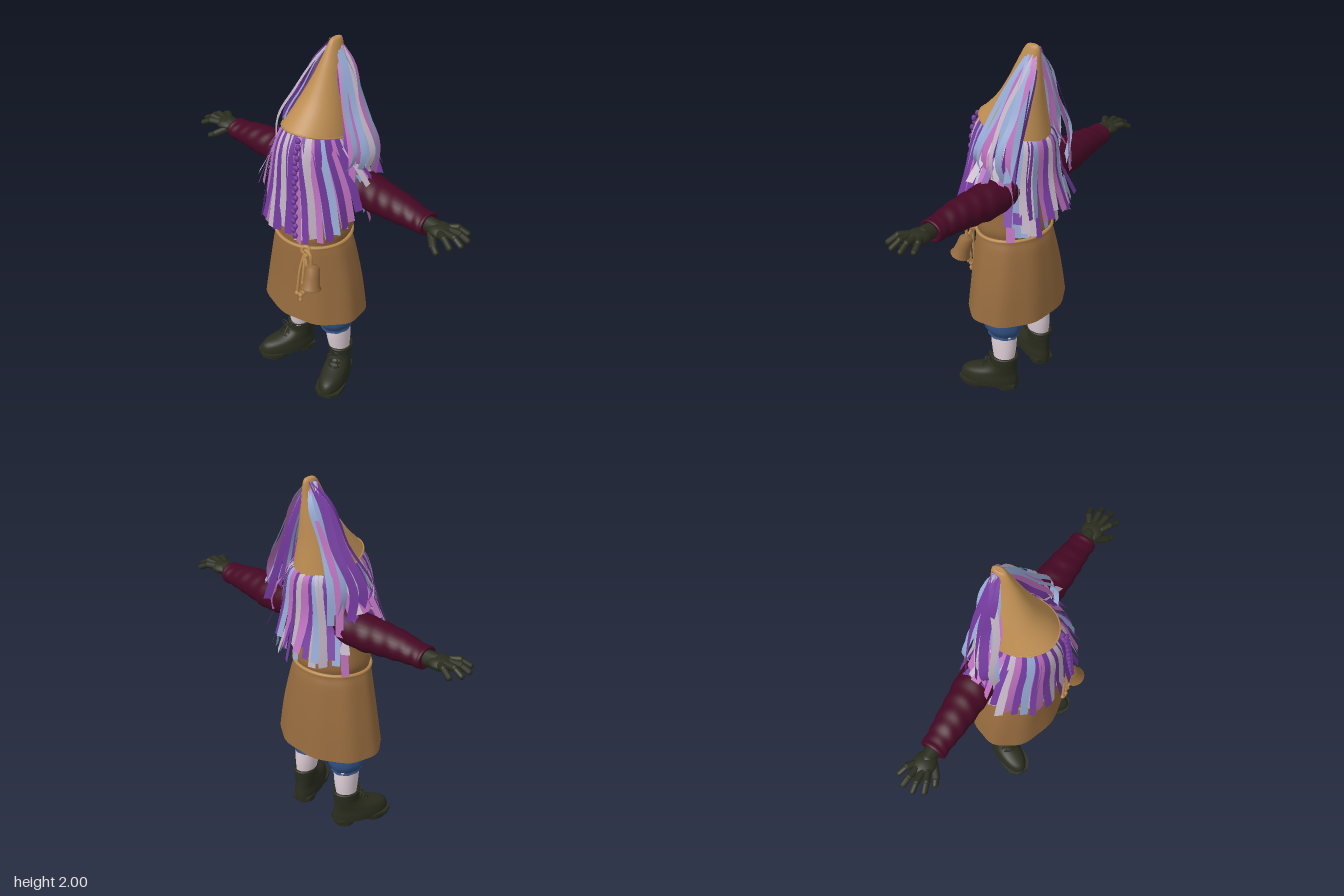
import * as THREE from 'three';
import { mergeVertices, mergeGeometries } from 'three/addons/utils/BufferGeometryUtils.js';

const V = (x, y, z) => new THREE.Vector3(x, y, z);
const mat = (name, color, side = THREE.FrontSide) => {
  const m = new THREE.MeshStandardMaterial({ color, side });
  m.name = name;
  return m;
};
const add = (group, name, geo, material) => {
  const m = new THREE.Mesh(geo, material);
  m.name = name;
  group.add(m);
  return m;
};
const part = (parent, name) => {
  const g = new THREE.Group();
  g.name = name;
  parent.add(g);
  return g;
};

// Skin over rings [x, y, z, rx, rz, tilt], listed from top to bottom
function loft(rings, rows = 24, segs = 32, ripple = () => 1) {
  const curve = (i) => new THREE.CatmullRomCurve3(
    rings.map((r) => V(r[i], r[i + 1], r[i + 2] || 0)), false, 'catmullrom');
  const centre = curve(0), size = curve(3);
  const g = new THREE.CylinderGeometry(1, 1, 1, segs, rows, true);
  g.deleteAttribute('normal');
  g.deleteAttribute('uv');
  const p = g.attributes.position;
  for (let i = 0; i < p.count; i++) {
    const t = Math.floor(i / (segs + 1)) / rows;
    const a = ((i % (segs + 1)) % segs) / segs * Math.PI * 2;
    const c = centre.getPoint(t), s = size.getPoint(t), k = ripple(a, t);
    p.setXYZ(i, c.x + s.x * k * Math.sin(a), c.y + s.z * Math.cos(a), c.z + s.y * k * Math.cos(a));
  }
  const out = mergeVertices(g);
  out.computeVertexNormals();
  return out;
}

// Flat strip along a path, facing heading a and turning by twist
function ribbon(points, width, a, twist = 0, n = 10) {
  const path = new THREE.CatmullRomCurve3(points);
  const g = new THREE.PlaneGeometry(1, 1, 1, n);
  const p = g.attributes.position;
  for (let i = 0; i < p.count; i++) {
    const t = Math.floor(i / 2) / n, u = p.getX(i) * width, h = a + twist * t;
    const c = path.getPoint(t);
    p.setXYZ(i, c.x + u * Math.cos(h), c.y, c.z - u * Math.sin(h));
  }
  g.computeVertexNormals();
  return g;
}

const tube = (points, r, closed = false, n = 24) =>
  new THREE.TubeGeometry(new THREE.CatmullRomCurve3(points, closed), n, r, 6, closed);
const ball = (x, y, z, rx, ry = rx, rz = rx, seg = 14) =>
  new THREE.SphereGeometry(1, seg, seg - 4).scale(rx, ry, rz).translate(x, y, z);
function limb(a, b, r) {
  const d = b.clone().sub(a);
  const q = new THREE.Quaternion().setFromUnitVectors(V(0, 1, 0), d.clone().normalize());
  const c = a.clone().add(b).multiplyScalar(0.5);
  return new THREE.CapsuleGeometry(r, d.length(), 4, 10).applyQuaternion(q).translate(c.x, c.y, c.z);
}

// Copy of a group reflected across x
function mirror(parent, source, name) {
  const g = part(parent, name);
  g.position.copy(source.position);
  source.children.forEach((m) => {
    const geo = m.geometry.index ? m.geometry.clone() : mergeVertices(m.geometry.clone());
    geo.scale(-1, 1, 1);
    const ix = geo.index;
    for (let i = 0; i < ix.count; i += 3) {
      const b = ix.getX(i + 1);
      ix.setX(i + 1, ix.getX(i + 2));
      ix.setX(i + 2, b);
    }
    add(g, m.name, geo, m.material);
  });
}

export function createModel() {
  const D = THREE.DoubleSide;
  const tan = mat('tan felt', 0xbd8d52, D), brown = mat('brown cloth', 0x966b3e, D);
  const maroon = mat('maroon knit', 0x450823), olive = mat('dark leather', 0x2a2c1e);
  const blue = mat('blue denim', 0x2f4f7f, D), sockMat = mat('pale wool', 0xe0d0d8, D);
  const hairMats = [mat('purple', 0x733a9e, D), mat('pink', 0xba70ba, D),
    mat('lilac grey', 0xc2b4c4, D), mat('light blue', 0x94a8d2, D)];
  const root = new THREE.Group();
  root.name = 'costumedFigure';
  let seed = 7;
  const rnd = () => (seed = (seed * 16807) % 2147483647) / 2147483647;

  // Pointed hat with rolled brim
  const hat = part(root, 'hat');
  add(hat, 'hatCone', loft([
    [0.01, 2, -0.11, 0.001, 0.001, 0], [0.01, 1.99, -0.11, 0.02, 0.038, 0],
    [0.01, 1.9, -0.088, 0.045, 0.067, 0], [0.005, 1.8, -0.063, 0.075, 0.098, 0],
    [0, 1.69, -0.034, 0.112, 0.134, 0.015], [0, 1.56, 0.005, 0.157, 0.193, 0.045]], 30, 40), tan);
  const brim = [];
  for (let i = 0; i < 24; i++) {
    const a = i / 24 * Math.PI * 2;
    brim.push(V(0.157 * Math.sin(a), 1.56 + 0.045 * Math.cos(a), 0.005 + 0.193 * Math.cos(a)));
  }
  add(hat, 'hatBrim', tube(brim, 0.005, true, 48), tan);

  // Ribbon hair: two fringe layers round the brim, colours cycling by pattern
  const hair = part(root, 'ribbonHair');
  add(hair, 'innerHair', ball(0, 1.52, 0, 0.12, 0.1, 0.14), hairMats[0]);
  const strips = [[], [], [], []];
  let turn = 0;
  const pick = (pattern) => strips[pattern[turn++ % pattern.length]];
  for (const [count, k] of [[46, 1], [40, 0.88]]) {
    for (let i = 0; i < count; i++) {
      const a = (i + 0.3 * rnd()) / count * Math.PI * 2, s = Math.sin(a), c = Math.cos(a);
      const overArm = c < 0.08 && c > -0.55;
      const end = overArm ? 1.32 + 0.08 * rnd()
        : c > 0 ? 1.01 + 0.19 * s ** 4 + 0.09 * rnd() : 1.02 + 0.15 * rnd();
      const e = k * (0.95 + 0.14 * rnd()), b = c > 0 ? 1 : 0.88;
      // Hair spreads sideways more than it does to the front
      const wide = c > 0 ? 1.08 : 1;
      pick(c > 0 ? [2, 0, 1, 0, 2, 1, 0, 3, 0, 1, 0] : [2, 0, 3, 1, 0, 2, 1, 0, 3]).push(ribbon([
        V(0.13 * s, 1.59 + 0.035 * c, 0.01 + 0.16 * c),
        V(0.185 * k * s, 1.52, 0.225 * k * b * c),
        V(0.255 * k * wide * s, (1.5 + end) / 2, 0.243 * k * b * c),
        V(0.305 * e * wide * s + 0.03 * (rnd() - 0.5), end, 0.262 * e * c)],
      0.03 + 0.018 * rnd(), a, 1.1 * (rnd() - 0.5)));
    }
  }
  // Long streamers from the hat tip, some hugging the hat and some bowing out
  for (const side of [-1, 1]) {
    for (let i = 0; i < 15; i++) {
      const zo = (i / 14 - 0.5) * 0.2, f = (i * 4 % 15) / 14, w = 0.03 * (rnd() - 0.5);
      pick([3, 0, 1, 3, 2, 0, 3, 1]).push(ribbon([
        V(side * 0.012, 1.985, -0.115),
        V(side * (0.05 + 0.055 * f), 1.87, -0.11 + zo * 0.4 + w),
        V(side * (0.115 + 0.075 * f), 1.7, -0.09 + zo * 0.75 - w),
        V(side * (0.185 + 0.11 * f), 1.5, -0.07 + zo + w),
        V(side * (0.19 + 0.1 * rnd()), 1.25 + 0.15 * rnd(), -0.06 + zo * 1.3)],
      0.03 + 0.016 * rnd(), side * (Math.PI / 2 - 8 * zo) + 0.8 * (rnd() - 0.5), 2.4 * (rnd() - 0.5), 18));
    }
  }
  strips.forEach((list, i) => add(hair, 'ribbons ' + hairMats[i].name, mergeGeometries(list), hairMats[i]));
  const beads = [];
  for (let i = 0; i < 20; i++) {
    const t = i / 19;
    beads.push(ball(0.065 + 0.02 * t + (i % 2 ? 0.006 : -0.006), 1.58 - 0.5 * t,
      0.2 + 0.06 * Math.sqrt(t), 0.015, 0.018, 0.013, 8));
  }
  add(hair, 'braid', mergeGeometries(beads), hairMats[0]);

  // Tunic with soft folds growing toward the hem
  add(root, 'tunic', loft([
    [0, 1.45, -0.03, 0.07, 0.06], [0, 1.4, -0.04, 0.16, 0.1], [0, 1.3, -0.01, 0.2, 0.15],
    [-0.01, 1.15, 0.02, 0.205, 0.175], [-0.013, 1.03, 0.02, 0.217, 0.19],
    [-0.013, 0.97, 0.022, 0.206, 0.184], [-0.014, 0.9, 0.015, 0.228, 0.196],
    [-0.015, 0.7, 0.005, 0.275, 0.215], [-0.017, 0.5, 0.003, 0.308, 0.233]], 40, 56,
  (a, t) => 1 + 0.016 * t * Math.sin(9 * a + 2 * t)), brown);

  // Rope belt, knot, hanging cords and bell
  const belt = part(root, 'belt');
  const loop = [];
  for (let i = 0; i < 24; i++) {
    const a = i / 24 * Math.PI * 2;
    loop.push(V(-0.013 + 0.212 * Math.sin(a), 0.975 - 0.01 * Math.cos(a), 0.021 + 0.19 * Math.cos(a)));
  }
  add(belt, 'beltRope', tube(loop, 0.01, true, 64), tan);
  add(belt, 'knot', new THREE.TorusKnotGeometry(0.02, 0.01, 40, 6).translate(0.11, 0.955, 0.2), tan);
  [[0.075, 0.69], [0.1, 0.66], [0.122, 0.72]].forEach(([x, y], i) => {
    add(belt, 'cord', tube([V(0.105, 0.955, 0.205), V(x + 0.015, 0.86, 0.225), V(x, y, 0.235)], 0.008), tan);
    add(belt, 'cordKnot', ball(x, y + 0.03 * i, 0.235, 0.014, 0.016, 0.014, 8), tan);
    add(belt, 'cordEnd', ball(x, y, 0.235, 0.011, 0.02, 0.011, 8), tan);
  });
  add(belt, 'bellCord', tube([V(0.105, 0.96, 0.205), V(0.15, 0.965, 0.215), V(0.155, 0.89, 0.21)], 0.009), tan);
  const bell = add(belt, 'bell', new THREE.LatheGeometry([[0.001, 0.065], [0.025, 0.062], [0.037, 0.048],
    [0.041, 0], [0.047, -0.045], [0.056, -0.06], [0.054, -0.065], [0.042, -0.045], [0.033, 0.04]]
    .map((p) => new THREE.Vector2(...p)).reverse(), 24), brown);
  bell.position.set(0.17, 0.84, 0.222);
  bell.rotation.set(-0.3, 0, 0.15);
  add(belt, 'clapper', ball(0.178, 0.785, 0.238, 0.015), brown);

  // Arm with rumpled sleeve and gloved hand
  const arm = part(root, 'leftArm');
  add(arm, 'sleeve', loft([
    [-1.275, 0.668, -0.05, 0.03, 0.03], [-1.275, 0.675, -0.05, 0.054, 0.066],
    [-1.275, 0.62, -0.052, 0.056, 0.069], [-1.28, 0.53, -0.055, 0.07, 0.08],
    [-1.28, 0.42, -0.06, 0.081, 0.09], [-1.28, 0.3, -0.068, 0.09, 0.099],
    [-1.3, 0.1, -0.06, 0.095, 0.1]], 72, 28,
  (a, t) => 1 + 0.024 * Math.sin(50 * t + 1.2 * Math.sin(a) + Math.cos(2 * a)) * (t > 0.22 ? 1 : 0.3))
    .rotateZ(-Math.PI / 2), maroon);
  add(arm, 'wrist', limb(V(0.65, 1.277, -0.05), V(0.72, 1.277, -0.047), 0.04), olive);
  add(arm, 'palm', ball(0.75, 1.28, -0.045, 0.07, 0.033, 0.06), olive);
  for (const [x, z] of [[0.85, -0.118], [0.885, -0.07], [0.888, -0.015], [0.86, 0.035]]) {
    const k = V(0.775, 1.29, -0.045 + (z + 0.045) * 0.5), m = V(x - 0.045, 1.295, -0.045 + (z + 0.045) * 0.78);
    add(arm, 'finger', limb(k, m, 0.018), olive);
    add(arm, 'fingertip', limb(m, V(x, 1.273, z), 0.0155), olive);
  }
  add(arm, 'thumb', limb(V(0.72, 1.265, -0.01), V(0.765, 1.235, 0.03), 0.02), olive);
  add(arm, 'thumbTip', limb(V(0.765, 1.235, 0.03), V(0.795, 1.22, 0.045), 0.016), olive);
  mirror(root, arm, 'rightArm');

  // Leg: gathered breeches, sock and laced boot
  const leg = part(root, 'leftLeg');
  leg.position.x = -0.015;
  add(leg, 'breeches', loft([
    [0.08, 0.82, 0, 0.1, 0.12], [0.1, 0.65, 0, 0.105, 0.12], [0.13, 0.5, -0.01, 0.098, 0.11],
    [0.138, 0.42, -0.012, 0.1, 0.112], [0.14, 0.38, -0.015, 0.084, 0.097],
    [0.14, 0.367, -0.015, 0.074, 0.087], [0.14, 0.352, -0.015, 0.078, 0.09]], 36, 40,
  (a, t) => 1 + 0.025 * t * Math.sin(9 * a)), blue);
  add(leg, 'sock', loft([
    [0.145, 0.42, -0.022, 0.064, 0.075], [0.147, 0.33, -0.024, 0.064, 0.076],
    [0.15, 0.26, -0.027, 0.059, 0.071], [0.155, 0.18, -0.03, 0.05, 0.058]], 14, 24), sockMat);
  const boot = (name, geo) => add(leg, name, geo.rotateY(0.4).translate(0.158, 0, -0.035), olive);
  boot('bootUpper', loft([
    [0, 0.2, 0, 0.05, 0.058], [0, 0.215, 0, 0.06, 0.07], [0, 0.19, 0, 0.062, 0.073],
    [0, 0.155, 0.005, 0.06, 0.076], [0, 0.125, 0.03, 0.062, 0.102],
    [0, 0.095, 0.076, 0.068, 0.15], [0, 0.06, 0.087, 0.075, 0.166], [0, 0.025, 0.087, 0.076, 0.167]], 28, 32));
  boot('bootCollar', new THREE.TorusGeometry(0.061, 0.008, 8, 24).rotateX(Math.PI / 2).scale(1, 1, 1.15).translate(0, 0.212, 0));
  const sole = new THREE.Shape([[-0.05, -0.07], [0.05, -0.07], [0.063, -0.01], [0.06, 0.06], [0.08, 0.15],
    [0.07, 0.22], [0.035, 0.258], [-0.035, 0.258], [-0.07, 0.22], [-0.08, 0.15], [-0.06, 0.06], [-0.063, -0.01]]
    .map((p) => new THREE.Vector2(p[0], -p[1])));
  boot('sole', new THREE.ExtrudeGeometry(sole, { depth: 0.02, bevelEnabled: false }).rotateX(-Math.PI / 2).translate(0, 0.017, 0));
  boot('heel', new THREE.CylinderGeometry(0.062, 0.06, 0.03, 20).translate(0, 0.015, -0.012));
  boot('toeTread', new THREE.CylinderGeometry(0.077, 0.073, 0.02, 20).scale(1, 1, 1.1).translate(0, 0.01, 0.165));
  for (let i = 0; i < 4; i++) {
    const y = 0.125 + 0.02 * i, z = 0.128 - 0.018 * i;
    boot('lace', tube([V(-0.035, y, z - 0.022), V(0, y + 0.008, z), V(0.035, y, z - 0.022)], 0.006, false, 8));
  }
  for (const s of [-1, 1]) {
    boot('bow', tube([V(0, 0.185, 0.08), V(s * 0.03, 0.2, 0.095), V(s * 0.045, 0.175, 0.1), V(s * 0.015, 0.175, 0.09)], 0.004, true));
    boot('bowEnd', tube([V(0, 0.185, 0.08), V(s * 0.02, 0.16, 0.105), V(s * 0.03, 0.135, 0.12)], 0.004));
  }
  mirror(root, leg, 'rightLeg');

  return root;
}
